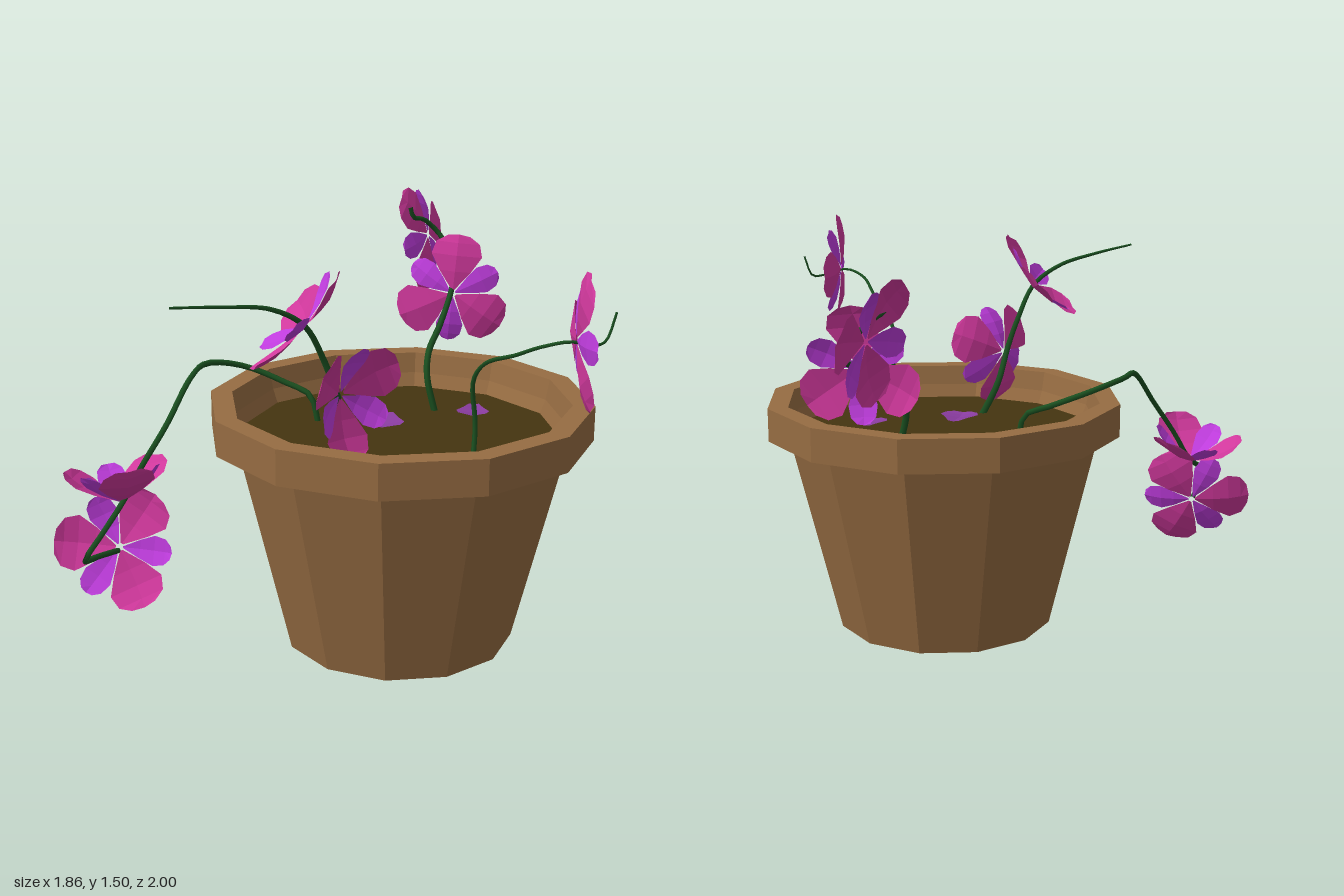
import * as THREE from 'three';

const mat = (color, extra = {}) => new THREE.MeshStandardMaterial({ color, flatShading: true, ...extra });
const CLAY = mat(0x966c42);
const SOIL = mat(0x453510);
const GREEN = mat(0x1a5020, { flatShading: false });
const PINK = mat(0xd0389c, { side: THREE.DoubleSide });
const PURPLE = mat(0xbe3cdc, { side: THREE.DoubleSide });
const FADED = mat(0x8a3ca0, { side: THREE.DoubleSide });

const add = (parent, name, geometry, material) => {
  const mesh = new THREE.Mesh(geometry, material);
  mesh.name = name;
  parent.add(mesh);
  return mesh;
};

// Petal along +y with a folded midrib, cupped towards +z; rows are [distance, half width] as fractions
function petalGeometry(length, halfWidth, cup, baseWidth = 0.05) {
  const rows = [[0.06, baseWidth], [0.38, 0.62], [0.65, 1], [0.86, 0.86], [0.97, 0.45]];
  const pos = [], index = [];
  rows.forEach(([t, w], i) => {
    const y = t * length, x = w * halfWidth, z = cup * t * t;
    const tip = i === rows.length - 1 ? 0.03 * length : 0;
    pos.push(-x, y, z, 0, y + tip, z - 0.16 * x, x, y, z);
    if (i) {
      for (let k = 0; k < 2; k++) {
        const a = (i - 1) * 3 + k, b = a + 3;
        index.push(a, a + 1, b + 1, a, b + 1, b);
      }
    }
  });
  const g = new THREE.BufferGeometry();
  g.setAttribute('position', new THREE.Float32BufferAttribute(pos, 3));
  g.setIndex(index);
  g.computeVertexNormals();
  return g;
}

const bigPetal = petalGeometry(0.225, 0.097, 0.035);
const smallPetal = petalGeometry(0.19, 0.052, 0.04);

// Flower facing along a normal: three broad petals alternating with three narrow ones, closed by a tilt
function flower(name, position, normal, angle, tilt = 0) {
  const f = new THREE.Group();
  f.name = name;
  f.position.set(...position);
  f.lookAt(f.position.clone().add(new THREE.Vector3(...normal)));
  for (let i = 0; i < 6; i++) {
    const broad = i % 2 === 0;
    const p = add(f, broad ? 'broadPetal' : 'narrowPetal', broad ? bigPetal : smallPetal, broad ? PINK : PURPLE);
    p.rotation.set(THREE.MathUtils.degToRad(tilt), 0, THREE.MathUtils.degToRad(angle + i * 60 - 90), 'ZXY');
  }
  return f;
}

// Tube through points, thinning towards its tip
function stemGeometry(points, r0, r1) {
  const curve = new THREE.CatmullRomCurve3(points.map(p => new THREE.Vector3(...p)), false, 'centripetal');
  const steps = 40, sides = 6;
  const g = new THREE.TubeGeometry(curve, steps, r0, sides);
  const pos = g.attributes.position, v = new THREE.Vector3();
  for (let i = 0; i < pos.count; i++) {
    const t = Math.floor(i / (sides + 1)) / steps;
    const c = curve.getPointAt(t);
    v.fromBufferAttribute(pos, i).sub(c).multiplyScalar(THREE.MathUtils.lerp(1, r1 / r0, t)).add(c);
    pos.setXYZ(i, v.x, v.y, v.z);
  }
  return g;
}

export function createModel() {
  const model = new THREE.Group();
  model.name = 'pottedFlowers';

  // Twelve-sided pot with a thick rim
  const pot = new THREE.Group();
  pot.name = 'pot';
  pot.position.set(0.214, 0, 0.2);
  model.add(pot);
  const profile = [[0, 0], [0.415, 0], [0.597, 0.76], [0.677, 0.76], [0.677, 0.885], [0.6, 0.885], [0.585, 0.81], [0.56, 0.75]];
  add(pot, 'potShell', new THREE.LatheGeometry(profile.map(p => new THREE.Vector2(...p)), 12), CLAY);
  const soil = add(pot, 'soil', new THREE.CircleGeometry(0.565, 12), SOIL);
  soil.rotation.x = -Math.PI / 2;
  soil.position.y = 0.76;

  // Stems
  const stems = {
    droopingStem: [[[-0.09, 0.74, 0.11], [-0.12, 0.85, 0.1], [-0.21, 0.89, 0.085], [-0.36, 0.95, 0.095], [-0.47, 0.985, 0.19],
      [-0.5, 0.975, 0.34], [-0.56, 0.84, 0.47], [-0.64, 0.7, 0.54], [-0.69, 0.6, 0.58], [-0.73, 0.53, 0.7],
      [-0.75, 0.49, 0.845], [-0.74, 0.46, 0.74], [-0.715, 0.42, 0.59]], 0.011, 0.01],
    frontStem: [[[0.13, 0.74, 0.48], [0.065, 0.88, 0.5], [0.035, 1.02, 0.56], [0, 1.13, 0.585], [-0.05, 1.255, 0.65],
      [-0.14, 1.325, 0.73], [-0.265, 1.36, 0.86], [-0.4, 1.385, 0.99]], 0.015, 0.004],
    sideStem: [[[0.485, 0.74, 0.49], [0.49, 0.885, 0.46], [0.48, 1.04, 0.48], [0.515, 1.115, 0.53], [0.62, 1.19, 0.67],
      [0.7, 1.25, 0.78], [0.78, 1.275, 0.805], [0.86, 1.255, 0.76], [0.895, 1.26, 0.7], [0.92, 1.34, 0.68]], 0.009, 0.004],
    backStem: [[[0.32, 0.74, -0.07], [0.285, 0.885, -0.085], [0.285, 0.96, -0.13], [0.315, 1.03, -0.28], [0.345, 1.125, -0.44],
      [0.34, 1.165, -0.61], [0.32, 1.21, -0.72], [0.275, 1.275, -0.775], [0.215, 1.34, -0.745], [0.175, 1.37, -0.65],
      [0.165, 1.41, -0.64]], 0.013, 0.009],
  };
  for (const [name, [points, r0, r1]] of Object.entries(stems)) add(model, name, stemGeometry(points, r0, r1), GREEN);

  // Flowers: position, facing direction, angle of the first broad petal, closing tilt
  const flowers = {
    droopingFlowerUpper: [[-0.7, 0.585, 0.56], [-0.15, 0.93, -0.15], 75, 28],
    droopingFlowerLower: [[-0.715, 0.425, 0.57], [0.05, 0.3, 0.95], 176],
    frontFlowerUpper: [[-0.045, 1.26, 0.66], [-0.72, 0.66, 0.1], 180, 4],
    frontFlowerLower: [[0.05, 1.0, 0.55], [0.82, -0.05, 0.57], 25, 15],
    sideFlower: [[0.8, 1.28, 0.8], [0.98, 0.03, -0.12], 116],
    backFlowerFront: [[0.35, 1.115, -0.44], [-0.03, -0.05, -1], 95],
    backFlowerRear: [[0.225, 1.275, -0.78], [-0.93, -0.2, -0.26], 52],
  };
  for (const [name, args] of Object.entries(flowers)) model.add(flower(name, ...args));

  // Fallen petals on the soil
  const fallen = petalGeometry(0.175, 0.073, 0, 0.3);
  for (const [x, z, scale] of [[0.16, 0.115, 1], [0.463, -0.02, 0.8]]) {
    const p = add(model, 'fallenPetal', fallen, FADED);
    p.position.set(x, 0.81, z);
    p.rotation.set(-Math.PI / 2, 0, Math.PI);
    p.scale.setScalar(scale);
  }
  return model;
}
